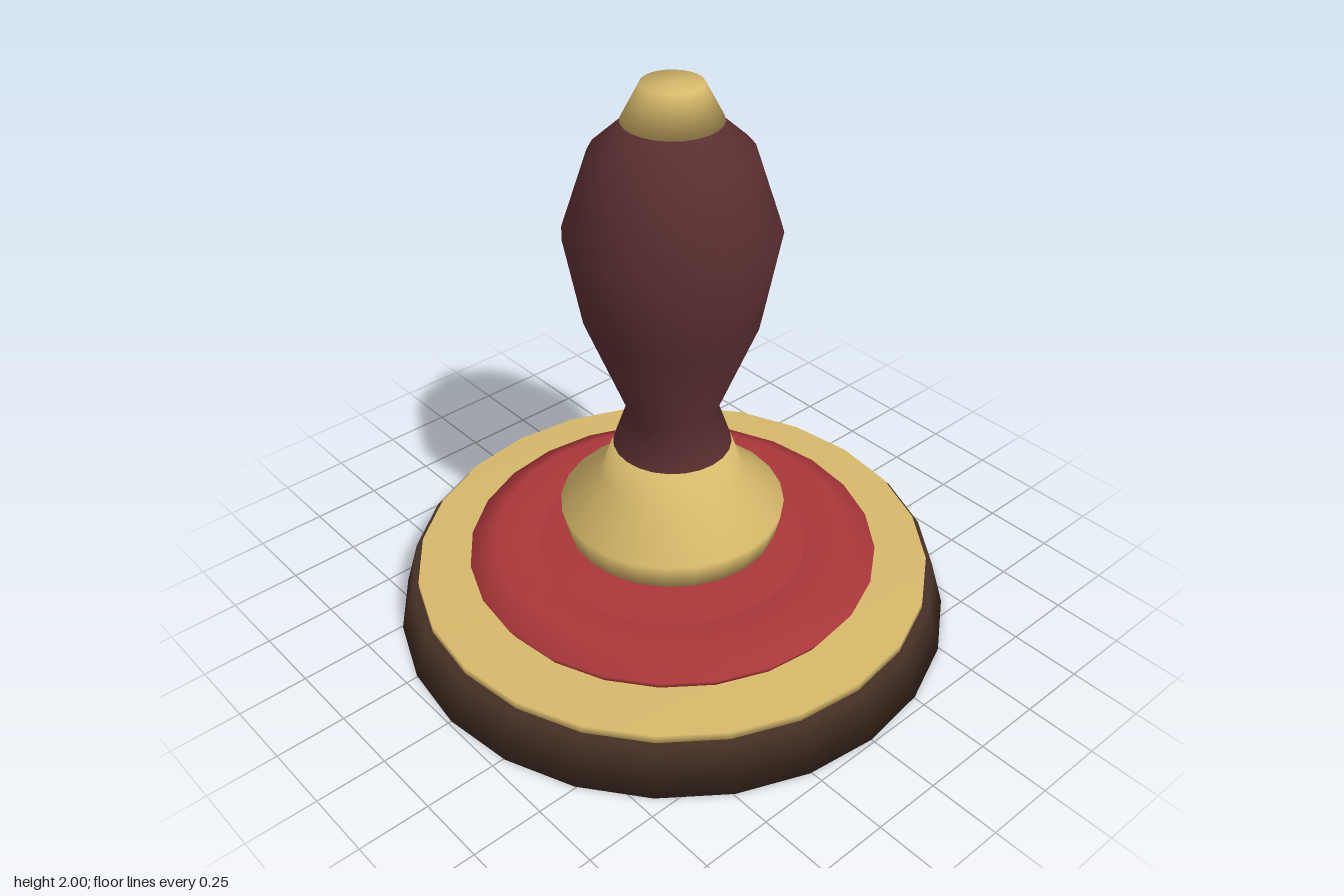
import * as THREE from 'three';

const SEGMENTS = 24;

const material = (name, color) => {
  const m = new THREE.MeshStandardMaterial({ color });
  m.name = name;
  return m;
};

// Solid of revolution from [radius, height] points, listed bottom to top
function turned(name, mat, profile) {
  const points = profile.map(([r, y]) => new THREE.Vector2(r, y));
  const mesh = new THREE.Mesh(new THREE.LatheGeometry(points, SEGMENTS), mat);
  mesh.name = name;
  return mesh;
}

export function createModel() {
  const darkWood = material('dark wood', 0x442f24);
  const brass = material('brass', 0xd6b86a);
  const wax = material('red wax', 0xaa373a);
  const redWood = material('red wood', 0x5a2e30);

  const model = new THREE.Group();
  model.name = 'sealStamp';

  model.add(
    // Round stand with its brass plate
    turned('base', darkWood, [[0, 0], [0.988, 0], [0.94, 0.17], [0, 0.17]]),
    turned('plate', brass, [[0, 0.165], [0.915, 0.165], [0.915, 0.2], [0, 0.2]]),

    // Wax puddle: raised rim around a slightly domed impression
    turned('waxRim', wax, [[0, 0.195], [0.7, 0.195], [0.728, 0.24], [0.63, 0.29], [0.47, 0.265]]),
    turned('waxImpression', wax, [[0.48, 0.266], [0.38, 0.276], [0, 0.28]]),

    // Stamp hovering just above the wax
    turned('stampHead', brass, [
      [0, 0.34], [0.372, 0.34], [0.395, 0.44], [0.25, 0.565], [0.205, 0.69], [0, 0.69],
    ]),
    turned('handle', redWood, [
      [0.205, 0.69], [0.155, 0.835], [0.295, 1.19], [0.354, 1.505], [0.265, 1.775], [0.145, 1.885], [0, 1.885],
    ]),
    turned('finial', brass, [[0, 1.88], [0.163, 1.88], [0.1, 2], [0, 2]]),
  );
  return model;
}
